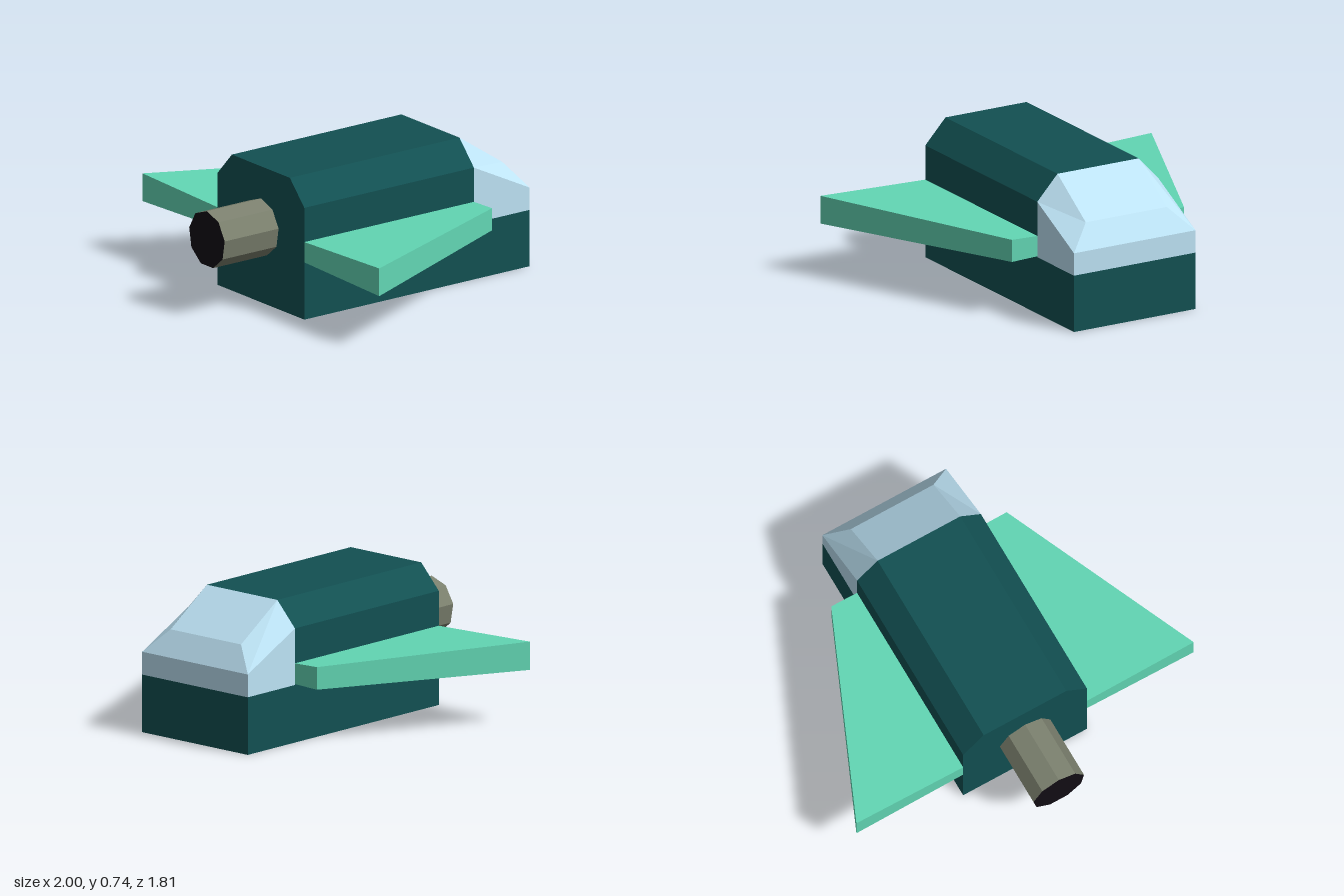
import * as THREE from 'three';

const W = 0.367, C = 0.245;          // half width of hull and of its flat roof
const Z0 = 0.556, Z1 = -0.545, Z2 = -0.906; // hull end, cockpit seam, far end

const paint = (color) => new THREE.MeshStandardMaterial({ color, flatShading: true });

function part(name, geometry, material) {
  const mesh = new THREE.Mesh(geometry, material);
  mesh.name = name;
  return mesh;
}

// Joins two rings of points (counterclockwise seen from +z) and caps both ends.
function loft(a, b) {
  const n = a.length, pos = [];
  const quad = (p, q, r, s) => pos.push(...p, ...q, ...r, ...p, ...r, ...s);
  for (let i = 0; i < n; i++) {
    const j = (i + 1) % n;
    quad(a[i], b[i], b[j], a[j]);
  }
  for (let i = 0; i < n / 2 - 1; i++) {
    const k = n - 1 - i;
    quad(a[i], a[i + 1], a[k - 1], a[k]);
    quad(b[k], b[k - 1], b[i + 1], b[i]);
  }
  const g = new THREE.BufferGeometry();
  g.setAttribute('position', new THREE.Float32BufferAttribute(pos, 3));
  g.computeVertexNormals();
  return g;
}

// Completes the +x half of a ring with its mirror image.
const mirrored = (half) => [...half, ...half.map(([x, y, z]) => [-x, y, z]).reverse()];

const hullRing = (base, z) => mirrored([[W, base, z], [W, 0.605, z], [C, 0.736, z]]);

export function createModel() {
  const group = new THREE.Group();
  const hullMat = paint(0x125052), wingMat = paint(0x62d6b4);
  const glassMat = paint(0xbde3f5), metalMat = paint(0x7b806e), darkMat = paint(0x120c14);

  // Hull with chamfered roof, and the low block carrying the cockpit
  group.add(part('hull', loft(hullRing(0, Z0), hullRing(0, Z1)), hullMat));
  const block = new THREE.BoxGeometry(2 * W, 0.305, Z1 - Z2).translate(0, 0.1525, (Z1 + Z2) / 2);
  group.add(part('cockpitBase', block, hullMat));

  // Cockpit glass, sloping down to the far end
  const nose = mirrored([[W, 0.305, Z2], [W, 0.426, Z2], [C, 0.55, -0.823]]);
  group.add(part('cockpit', loft(hullRing(0.305, Z1), nose), glassMat));

  // Swept wings, growing thicker towards the tips
  const wingRing = (side, tip, z) => {
    const half = (x) => 0.055 + 0.02 * (x - W) / (1 - W);
    const ring = [
      [tip, 0.365 - half(tip)], [tip, 0.365 + half(tip)],
      [W, 0.365 + half(W)], [W, 0.365 - half(W)],
    ].map(([x, y]) => [side * x, y, z]);
    return side > 0 ? ring : ring.reverse();
  };
  for (const side of [1, -1]) {
    const wing = loft(wingRing(side, 1, Z0), wingRing(side, 0.52, Z1));
    group.add(part(side > 0 ? 'leftWing' : 'rightWing', wing, wingMat));
  }

  // Nine-sided barrel with a dark end
  const R = 0.152, end = 0.906, y = 0.41;
  const barrel = new THREE.CylinderGeometry(R, R, end - Z0, 9, 1, true)
    .rotateX(-Math.PI / 2).translate(0, y, (end + Z0) / 2);
  group.add(part('barrel', barrel, metalMat));
  const cap = new THREE.CircleGeometry(R, 9, Math.PI / 2).translate(0, y, end);
  group.add(part('barrelEnd', cap, darkMat));

  return group;
}
